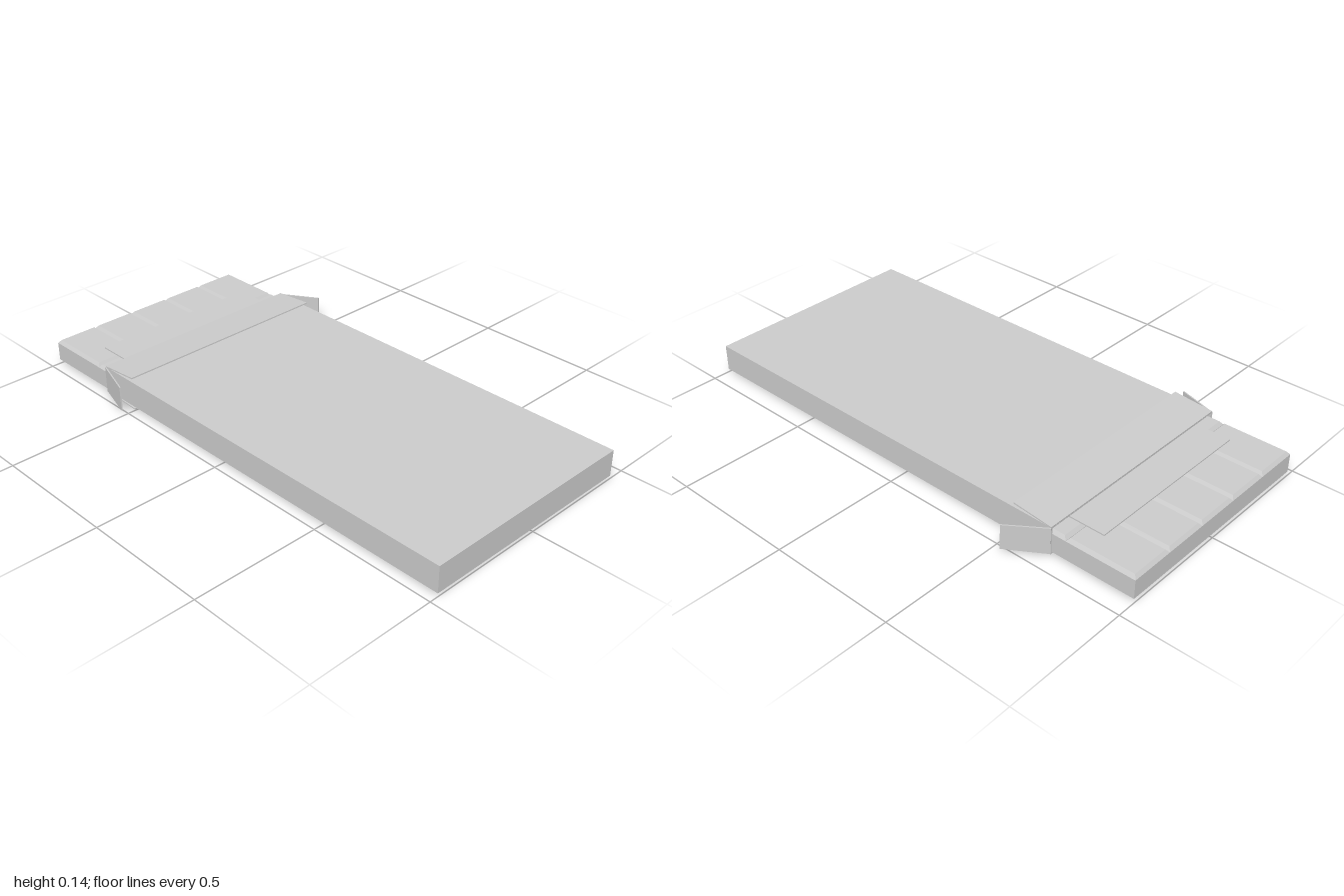
import * as THREE from 'three';

const grey = new THREE.MeshStandardMaterial({ color: 0xcccccc, flatShading: true });

export function createModel() {
  const model = new THREE.Group();
  const add = (name, geometry) => {
    const mesh = new THREE.Mesh(geometry, grey);
    mesh.name = name;
    model.add(mesh);
    return mesh;
  };
  // Box given by its lower and upper limits on each axis
  const block = (name, [x0, x1], [y0, y1], [z0, z1]) => {
    const mesh = add(name, new THREE.BoxGeometry(x1 - x0, y1 - y0, z1 - z0));
    mesh.position.set((x0 + x1) / 2, (y0 + y1) / 2, (z0 + z1) / 2);
  };

  const Z0 = -0.431, Z1 = 0.466, MID = (Z0 + Z1) / 2, OPEN = -0.67;

  // Sleeve: four thin walls and a closed far end
  const t = 0.004, Y0 = 0.013, Y1 = 0.117;
  block('sleeveTop', [OPEN, 1], [Y1 - t, Y1], [Z0, Z1]);
  block('sleeveBottom', [OPEN, 1], [Y0, Y0 + t], [Z0, Z1]);
  block('sleeveBackWall', [OPEN, 1], [Y0 + t, Y1 - t], [Z0, Z0 + t]);
  block('sleeveFrontWall', [OPEN, 1], [Y0 + t, Y1 - t], [Z1 - t, Z1]);
  block('sleeveEnd', [1 - t, 1], [Y0 + t, Y1 - t], [Z0 + t, Z1 - t]);

  // Torn flaps, each a thin, slightly tapered sheet folded outward at the opening
  const flap = (name, hinge, tip, across, w0, w1) => {
    const start = new THREE.Vector3(...hinge);
    const along = new THREE.Vector3(...tip).sub(start);
    const length = along.length();
    const side = new THREE.Vector3(...across);
    along.normalize();
    const shape = new THREE.Shape([
      new THREE.Vector2(0, -w0 / 2), new THREE.Vector2(length, -w1 / 2),
      new THREE.Vector2(length, w1 / 2), new THREE.Vector2(0, w0 / 2),
    ]);
    const geometry = new THREE.ExtrudeGeometry(shape, { depth: 0.005, bevelEnabled: false });
    geometry.translate(0, 0, -0.0025);
    const mesh = add(name, geometry);
    const normal = new THREE.Vector3().crossVectors(along, side);
    mesh.quaternion.setFromRotationMatrix(new THREE.Matrix4().makeBasis(along, side, normal));
    mesh.position.copy(start);
  };
  const yMid = (Y0 + Y1) / 2;
  flap('topFlap', [OPEN, 0.119, MID], [-0.508, 0.133, MID], [0, 0, 1], 0.9, 0.897);
  flap('bottomFlap', [OPEN, 0.0115, MID], [-0.505, 0.0025, MID], [0, 0, 1], 0.9, 0.897);
  flap('frontFlap', [OPEN, yMid, Z1 + 0.002], [-0.512, yMid, 0.518], [0, 1, 0], 0.104, 0.098);
  flap('backFlap', [OPEN, yMid, Z0 - 0.002], [-0.535, yMid, -0.526], [0, 1, 0], 0.104, 0.098);

  // Slab sliding out of the sleeve
  const SLAB = 0.092, TOP = 0.105;
  block('slab', [-1, 0.98], [0.018, SLAB], [Z0 + 0.003, Z1 - 0.003]);

  // Grid of bevelled segments, leaving V-shaped grooves between them
  const columns = 5, rows = 7, bevel = 0.011;
  const dx = 0.275, dz = (Z1 - Z0 - 0.006) / columns;
  for (let r = 0; r < rows; r++) {
    for (let c = 0; c < columns; c++) {
      const geometry = new THREE.BoxGeometry(dx, TOP - SLAB, dz);
      const p = geometry.attributes.position;
      for (let i = 0; i < p.count; i++) {
        if (p.getY(i) < 0) continue;
        p.setX(i, p.getX(i) - Math.sign(p.getX(i)) * bevel);
        p.setZ(i, p.getZ(i) - Math.sign(p.getZ(i)) * bevel);
      }
      geometry.computeVertexNormals();
      const mesh = add('segment', geometry);
      mesh.position.set(-1 + dx * (r + 0.5), (SLAB + TOP) / 2, Z0 + 0.003 + dz * (c + 0.5));
    }
  }

  // Loose tongue of the wrapper lying over the slab
  block('tongue', [-0.81, OPEN + 0.02], [0.107, 0.112], [-0.34, 0.372]);

  return model;
}
